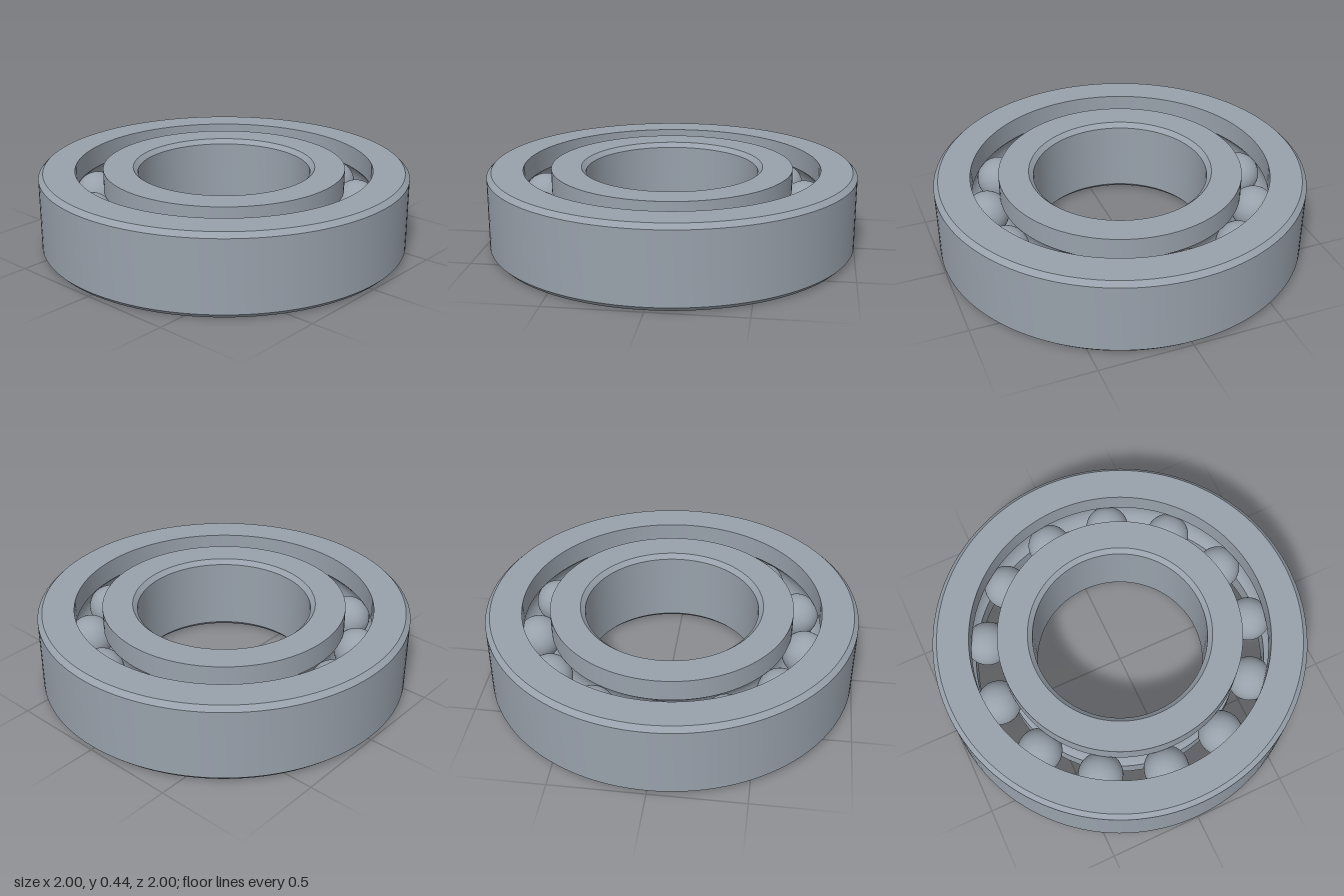
import * as THREE from 'three';
import { toCreasedNormals } from 'three/addons/utils/BufferGeometryUtils.js';

const H = 0.435, MID = H / 2;           // bearing height and mid plane
const PITCH = 0.73, BALL = 0.12;        // ball circle and ball radius
const GROOVE = 0.122, CHAMFER = 0.025;
const BALLS = 13;

// Raceway arc, from one edge at radius `wall` to the other; dir is +1 going up, -1 going down
function raceway(wall, dir) {
  const side = Math.sign(wall - PITCH);
  const half = Math.acos(Math.abs(wall - PITCH) / GROOVE);
  const points = [];
  for (let i = 0; i <= 12; i++) {
    const a = dir * half * (i / 6 - 1);
    points.push([PITCH + side * GROOVE * Math.cos(a), MID + GROOVE * Math.sin(a)]);
  }
  return points;
}

// Solid of revolution from a closed counter-clockwise profile
function ring(name, profile, material) {
  const points = [...profile, profile[0]].map(([x, y]) => new THREE.Vector2(x, y));
  const mesh = new THREE.Mesh(toCreasedNormals(new THREE.LatheGeometry(points, 128), 0.6), material);
  mesh.name = name;
  return mesh;
}

export function createModel() {
  const model = new THREE.Group();
  model.name = 'ballBearing';
  const steel = new THREE.MeshStandardMaterial({ color: 0x98a1ab });
  steel.name = 'steel';

  // Outer ring: chamfered rim outside, raceway inside
  const outer = 1, outerWall = 0.805;
  model.add(ring('outerRing', [
    [outer - CHAMFER, 0], [outer, CHAMFER], [outer, H - CHAMFER], [outer - CHAMFER, H],
    [outerWall, H], ...raceway(outerWall, -1), [outerWall, 0],
  ], steel));

  // Inner ring: raceway outside, chamfered bore inside
  const bore = 0.468, innerWall = 0.655;
  model.add(ring('innerRing', [
    [innerWall, 0], ...raceway(innerWall, 1), [innerWall, H],
    [bore + CHAMFER, H], [bore, H - CHAMFER], [bore, CHAMFER], [bore + CHAMFER, 0],
  ], steel));

  // Balls, evenly spaced between the raceways
  const balls = new THREE.Group();
  balls.name = 'balls';
  const sphere = new THREE.SphereGeometry(BALL, 40, 24);
  for (let i = 0; i < BALLS; i++) {
    const a = THREE.MathUtils.degToRad(178.4) + (i / BALLS) * Math.PI * 2;
    const ball = new THREE.Mesh(sphere, steel);
    ball.name = 'ball';
    ball.position.set(PITCH * Math.cos(a), MID, PITCH * Math.sin(a));
    balls.add(ball);
  }
  model.add(balls);
  return model;
}
